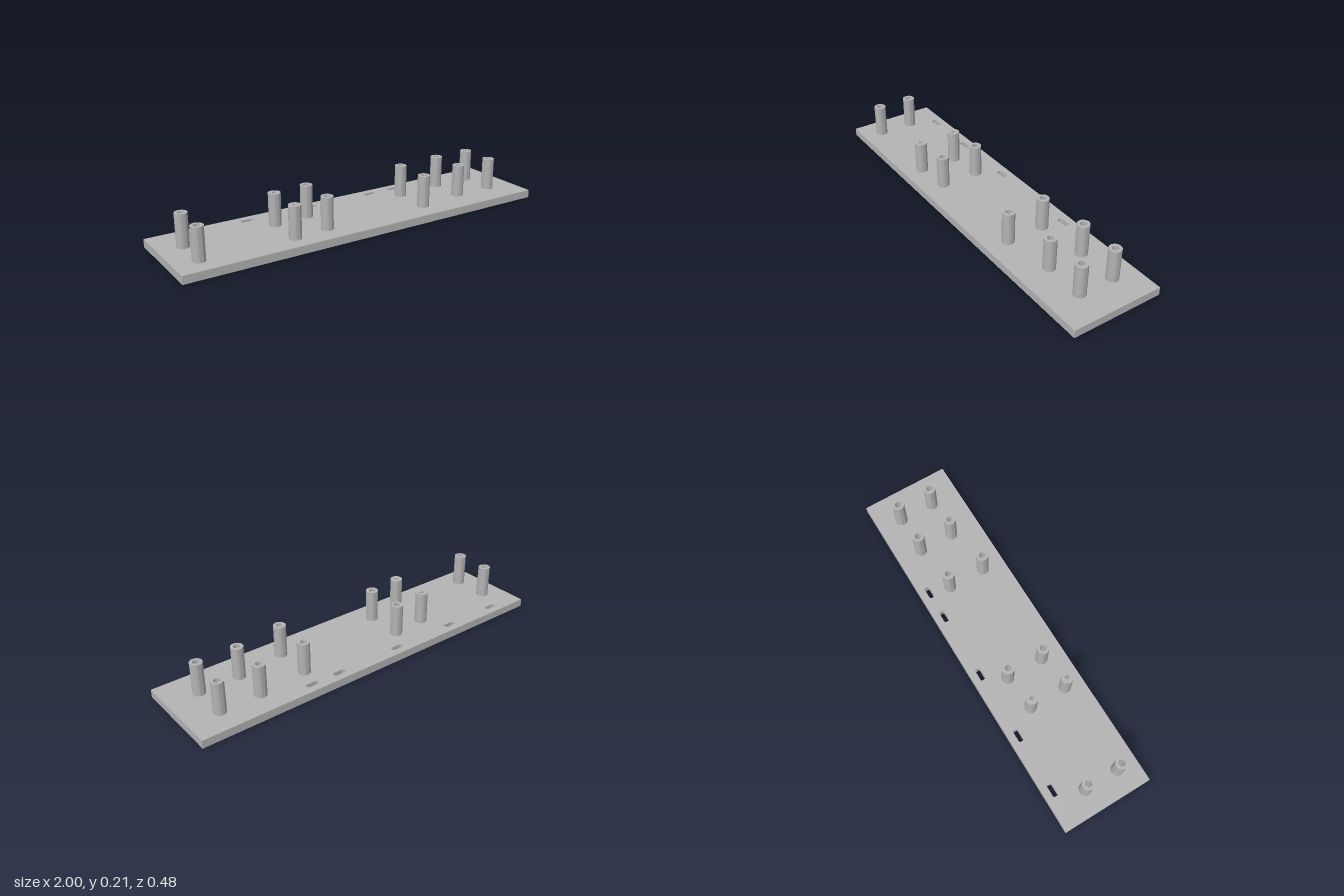
import * as THREE from 'three';
import { toCreasedNormals } from 'three/addons/utils/BufferGeometryUtils.js';

const LENGTH = 2, DEPTH = 0.476, PLATE = 0.041, TOP = 0.208;

// Rounded rectangle hole for the plate outline
function slotPath(cx, cy, w, h, r) {
  const p = new THREE.Path();
  const x = w / 2 - r, y = h / 2 - r;
  p.absarc(cx + x, cy + y, r, 0, Math.PI / 2);
  p.absarc(cx - x, cy + y, r, Math.PI / 2, Math.PI);
  p.absarc(cx - x, cy - y, r, Math.PI, Math.PI * 1.5);
  p.absarc(cx + x, cy - y, r, Math.PI * 1.5, Math.PI * 2);
  p.closePath();
  return p;
}

// Hollow post; the plate's top face is the floor of its bore
function postGeometry(radius, bore) {
  const profile = [
    [radius, PLATE], [radius, TOP], [bore, TOP], [bore, PLATE],
  ].map(([x, y]) => new THREE.Vector2(x, y));
  return toCreasedNormals(new THREE.LatheGeometry(profile, 40), 0.6);
}

export function createModel() {
  const group = new THREE.Group();
  group.name = 'mountingPlate';
  const grey = new THREE.MeshStandardMaterial({ color: 0xb3b3b3 });
  grey.name = 'grey';

  // Base plate with a row of slots along the back edge
  const a = LENGTH / 2, b = DEPTH / 2;
  const outline = new THREE.Shape([
    new THREE.Vector2(-a, -b), new THREE.Vector2(a, -b),
    new THREE.Vector2(a, b), new THREE.Vector2(-a, b),
  ]);
  for (const x of [-0.802, -0.493, -0.129, 0.235, 0.39]) {
    outline.holes.push(slotPath(x, 0.188, 0.064, 0.026, 0.006));
  }
  const plateGeometry = new THREE.ExtrudeGeometry(outline, {
    depth: PLATE, bevelEnabled: false, curveSegments: 4,
  });
  plateGeometry.rotateX(-Math.PI / 2);
  const plate = new THREE.Mesh(plateGeometry, grey);
  plate.name = 'basePlate';
  group.add(plate);

  // Pairs of standoff posts: x, back z, front z, bore radius
  const pairs = [
    [-0.878, -0.054, 0.13, 0.016],
    [-0.403, -0.062, 0.138, 0.011],
    [-0.217, -0.08, 0.118, 0.016],
    [0.362, -0.08, 0.118, 0.016],
    [0.624, -0.107, 0.079, 0.016],
    [0.836, -0.107, 0.079, 0.016],
  ];
  for (const [x, back, front, bore] of pairs) {
    const geometry = postGeometry(0.031, bore);
    for (const [name, z] of [['backPost', back], ['frontPost', front]]) {
      const post = new THREE.Mesh(geometry, grey);
      post.name = name;
      post.position.set(x, 0, z);
      group.add(post);
    }
  }
  return group;
}
